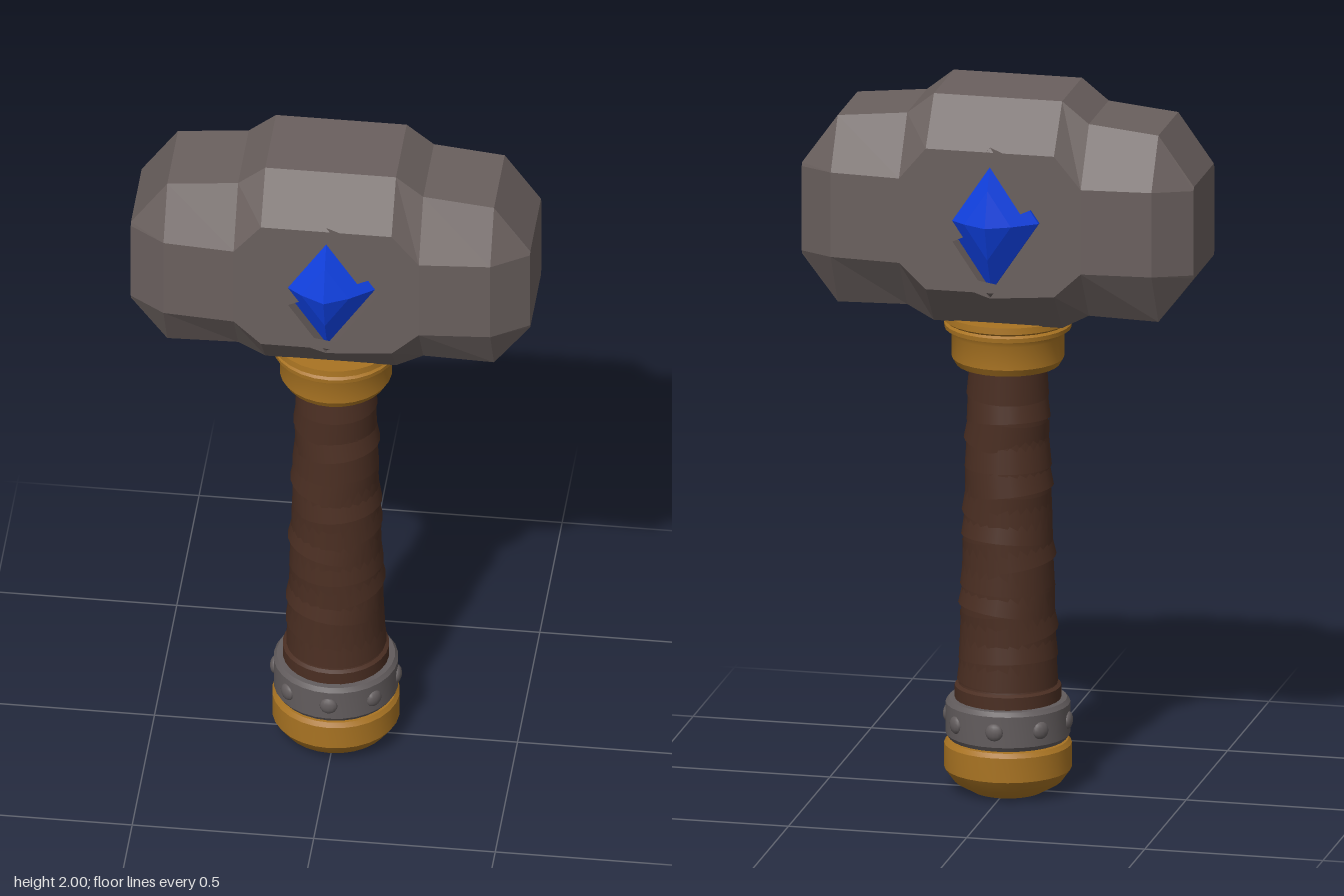
import * as THREE from 'three';
import { toCreasedNormals } from 'three/addons/utils/BufferGeometryUtils.js';

const material = (name, color) => {
  const m = new THREE.MeshStandardMaterial({ color });
  m.name = name;
  return m;
};

const flat = (geometry) => {
  const g = geometry.index ? geometry.toNonIndexed() : geometry;
  g.computeVertexNormals();
  return g;
};

const lathe = (points, segments = 28) =>
  toCreasedNormals(new THREE.LatheGeometry(points.map(([r, y]) => new THREE.Vector2(r, y)), segments), 0.5);

// Octagonal cross-sections: x, top, side top, side bottom, bottom, half depth
const HALF = [
  [0.18, 2.0, 1.87, 1.47, 1.355, 0.22],
  [0.255, 1.94, 1.78, 1.54, 1.395, 0.22],
  [0.45, 1.92, 1.78, 1.54, 1.39, 0.205],
  [0.55, 1.78, 1.77, 1.53, 1.52, 0.125],
];
const FLAT = 0.12; // half depth of the top and bottom faces

function headGeometry() {
  const sections = [...HALF].reverse().map(([x, ...rest]) => [-x, ...rest]).concat(HALF);
  const rings = sections.map(([x, t, st, sb, b, d]) => {
    const side = [[t, FLAT], [st, d], [sb, d], [b, FLAT]];
    return [...side, ...[...side].reverse().map(([y, z]) => [y, -z])].map(([y, z]) => [x, y, z]);
  });
  const pos = [];
  const tri = (a, b, c) => pos.push(...a, ...b, ...c);
  for (let i = 0; i < rings.length - 1; i++) {
    for (let j = 0; j < 8; j++) {
      // The middle of the front and back is filled by the socket panels
      if (i >= 2 && i <= 4 && (j === 1 || j === 5)) continue;
      const k = (j + 1) % 8;
      tri(rings[i][j], rings[i][k], rings[i + 1][k]);
      tri(rings[i][j], rings[i + 1][k], rings[i + 1][j]);
    }
  }
  const first = rings[0], last = rings[rings.length - 1];
  for (let j = 1; j < 7; j++) {
    tri(last[0], last[j], last[j + 1]);
    tri(first[0], first[j + 1], first[j]);
  }
  const g = new THREE.BufferGeometry();
  g.setAttribute('position', new THREE.Float32BufferAttribute(pos, 3));
  return flat(g);
}

const GEM_Y = 1.67;
const diamond = (w, h, Type) =>
  new Type([[w, 0], [0, h], [-w, 0], [0, -h]].map(([x, y]) => new THREE.Vector2(x, y + GEM_Y)));

export function createModel() {
  const stone = material('stone', 0x6a605e);
  const gold = material('gold', 0xa87322);
  const leather = material('leather', 0x4a2e22);
  const iron = material('iron', 0x625c5d);
  const blue = material('blue gem', 0x0f40e0);

  const model = new THREE.Group();
  model.name = 'hammer';
  const add = (name, geometry, mat, parent = model) => {
    const mesh = new THREE.Mesh(geometry, mat);
    mesh.name = name;
    parent.add(mesh);
    return mesh;
  };

  // Stone head
  add('head', headGeometry(), stone);

  // Socket panel, recess and gem on the front and back
  const [[x0, , t0, b0], [x1, , t1, b1]] = HALF;
  for (const [name, turn] of [['front', 0], ['back', Math.PI]]) {
    const face = new THREE.Group();
    face.name = name + 'Gem';
    face.rotation.y = turn;
    model.add(face);

    const panel = new THREE.Shape([
      [x1, b1], [x1, t1], [x0, t0], [-x0, t0], [-x1, t1], [-x1, b1], [-x0, b0], [x0, b0],
    ].map(([x, y]) => new THREE.Vector2(x, y)));
    panel.holes.push(diamond(0.145, 0.215, THREE.Path));
    const panelGeo = new THREE.ExtrudeGeometry(panel, { depth: 0.05, bevelEnabled: false });
    add('socketPanel', panelGeo.translate(0, 0, 0.17), stone, face);
    add('socketFloor', new THREE.ShapeGeometry(diamond(0.15, 0.22, THREE.Shape)).translate(0, 0, 0.172), stone, face);

    const gem = new THREE.LatheGeometry(
      [[1, 0.165], [1, 0.2], [0.5, 0.25], [0, 0.283]].map(([r, y]) => new THREE.Vector2(r, y)), 4);
    gem.scale(0.132, 1, 0.198).rotateX(Math.PI / 2).translate(0, GEM_Y, 0);
    add('gem', flat(gem), blue, face);
  }

  // Gold collar under the head
  add('collar', lathe([
    [0.1, 1.212], [0.142, 1.212], [0.154, 1.232], [0.154, 1.298], [0.16, 1.312], [0.174, 1.316],
    [0.175, 1.328], [0.168, 1.334], [0.176, 1.34], [0.174, 1.358], [0, 1.36],
  ]), gold);

  // Grip core with overlapping, tilted leather wraps
  add('gripCore', lathe([[0.137, 0.24], [0.131, 0.45], [0.122, 0.75], [0.11, 1.05], [0.104, 1.23]]), leather);
  const wraps = new THREE.Group();
  wraps.name = 'leatherWraps';
  model.add(wraps);
  const count = 13, pitch = 0.88 / count;
  for (let i = 0; i < count; i++) {
    const y = 0.32 + pitch * (i + 0.5);
    const r = 0.137 - 0.028 * (y - 0.3) / 0.9;
    const wrap = add('wrap', new THREE.CylinderGeometry(r - 0.004, r + 0.003, pitch * 1.25, 24, 1, true), leather, wraps);
    const edge = i === 0 || i === count - 1;
    wrap.rotation.set(0.1 * Math.sin(i * 2.4), 0, edge ? 0.03 : 0.14 * Math.cos(i * 1.9));
    wrap.position.y = y;
  }
  add('gripEnd', lathe([[0.146, 0.24], [0.146, 0.298], [0.136, 0.304], [0.128, 0.34]]), leather);

  // Iron band with rivets
  add('ironBand', lathe([
    [0.1, 0.15], [0.162, 0.15], [0.171, 0.163], [0.171, 0.25], [0.162, 0.262], [0.12, 0.264],
  ]), iron);
  for (let i = 0; i < 8; i++) {
    const a = i * Math.PI / 4;
    const rivet = add('rivet', new THREE.SphereGeometry(0.025, 12, 8).scale(1, 1, 0.55), iron);
    rivet.position.set(0.168 * Math.sin(a), 0.206, 0.168 * Math.cos(a));
    rivet.rotation.y = a;
  }

  // Gold pommel
  add('pommel', lathe([
    [0, 0], [0.1, 0], [0.148, 0.028], [0.175, 0.065], [0.175, 0.134], [0.166, 0.146], [0, 0.152],
  ]), gold);

  return model;
}
